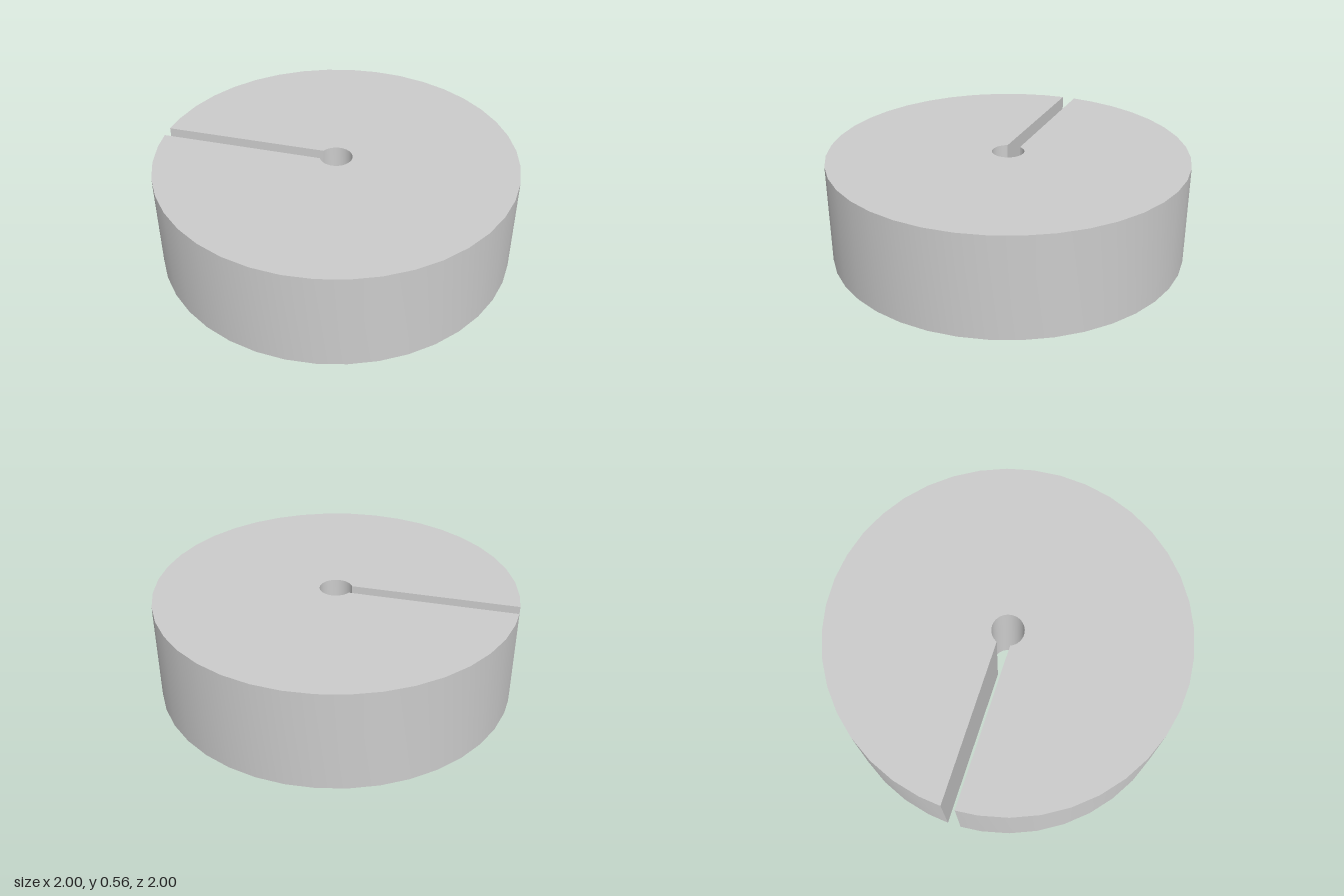
import * as THREE from 'three';
import { toCreasedNormals } from 'three/addons/utils/BufferGeometryUtils.js';

const RADIUS = 1, HOLE = 0.09, SLOT = 0.0375, HEIGHT = 0.5625;

// Arc in 9 degree steps, left open where the slot cuts it on the -x side
function openArc(radius) {
  const end = Math.PI - Math.asin(SLOT / radius);
  const step = Math.PI / 20;
  const angles = [-end];
  for (let i = -19; i <= 19; i++) {
    if (Math.abs(i * step) < end - 0.02) angles.push(i * step);
  }
  angles.push(end);
  return angles.map((a) => new THREE.Vector2(Math.cos(a) * radius, Math.sin(a) * radius));
}

export function createModel() {
  const group = new THREE.Group();
  group.name = 'slottedWeight';

  // Disc outline: around the rim, in along the slot, back around the centre hole
  const outline = new THREE.Shape([...openArc(RADIUS), ...openArc(HOLE).reverse()]);
  const geometry = new THREE.ExtrudeGeometry(outline, { depth: HEIGHT, bevelEnabled: false });
  geometry.rotateX(-Math.PI / 2);

  const disc = new THREE.Mesh(
    toCreasedNormals(geometry, 0.5),
    new THREE.MeshStandardMaterial({ color: 0xcccccc })
  );
  disc.name = 'slottedDisc';
  group.add(disc);
  return group;
}
